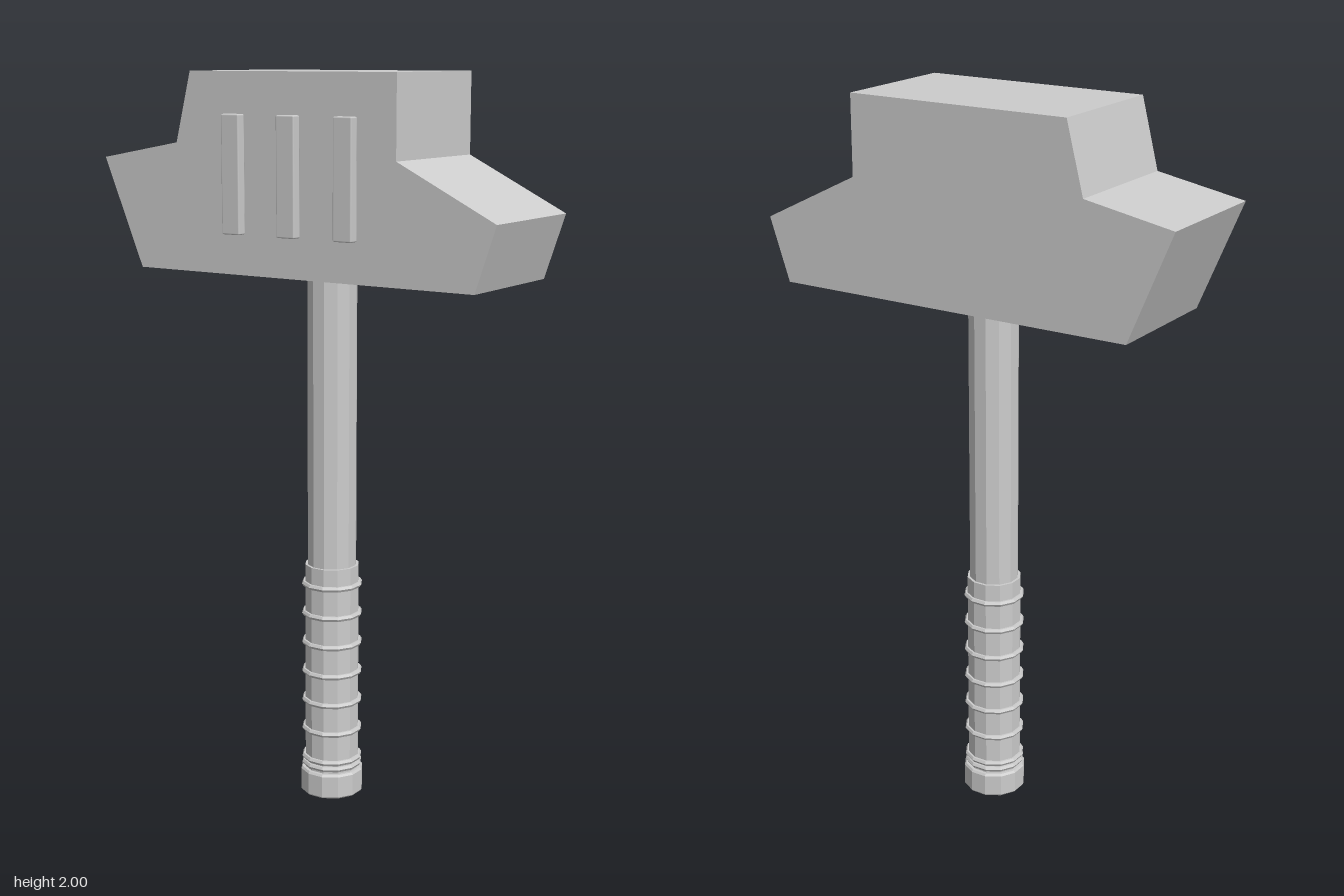
import * as THREE from 'three';
import { RoundedBoxGeometry } from 'three/addons/geometries/RoundedBoxGeometry.js';

const SIDES = 12;
const CX = 0.013, CZ = -0.018; // handle axis

export function createModel() {
  const hammer = new THREE.Group();
  hammer.name = 'hammer';
  const metal = new THREE.MeshStandardMaterial({ color: 0xcccccc });
  metal.name = 'light grey';

  const add = (name, geometry, x = 0, y = 0, z = 0) => {
    const mesh = new THREE.Mesh(geometry, metal);
    mesh.name = name;
    mesh.position.set(x, y, z);
    hammer.add(mesh);
  };

  // Faceted geometry turned so that a flat side faces the front
  const faceted = (geometry) => {
    const flat = geometry.rotateY(Math.PI / SIDES).toNonIndexed();
    flat.computeVertexNormals();
    return flat;
  };
  // Profile of [radius across flats, height], listed from bottom to top
  const turned = (profile) => {
    const k = 1 / Math.cos(Math.PI / SIDES);
    return faceted(new THREE.LatheGeometry(
      profile.map(([r, y]) => new THREE.Vector2(r * k, y)), SIDES));
  };

  // Head: stepped outline extruded through its depth
  const outline = [
    [-0.488, 1.473], [0.547, 1.473], [0.605, 1.645], [0.322, 1.785],
    [0.322, 2], [-0.314, 2], [-0.362, 1.813], [-0.61, 1.767],
  ].map(([x, y]) => new THREE.Vector2(x, y));
  add('head', new THREE.ExtrudeGeometry(new THREE.Shape(outline),
    { depth: 0.372, bevelEnabled: false }), 0, 0, -0.205);

  // Three raised bars standing just off the front of the head
  for (let i = -1; i <= 1; i++) {
    add('frontBar', new RoundedBoxGeometry(0.056, 0.31, 0.029, 1, 0.004),
      0.014 + i * 0.173, 1.737, 0.1905);
  }

  // Handle, grip and end cap
  add('shaft', turned([[0, 0.6], [0.066, 0.6], [0.066, 1.5], [0, 1.5]]), CX, 0, CZ);
  add('grip', turned([[0, 0.05], [0.073, 0.05], [0.073, 0.665], [0, 0.665]]), CX, 0, CZ);
  add('endCap', turned([[0, 0], [0.082, 0], [0.085, 0.004], [0.085, 0.064],
    [0.081, 0.07], [0, 0.07]]), CX, 0, CZ);

  // Grip rings, with an extra one against the cap
  const heights = [0.084];
  for (let i = 0; i < 7; i++) heights.push(0.102 + i * 0.0847);
  for (const y of heights) {
    const ring = new THREE.TorusGeometry(0.077, 0.008, 6, SIDES).rotateX(Math.PI / 2);
    add('gripRing', faceted(ring), CX, y, CZ);
  }
  return hammer;
}
